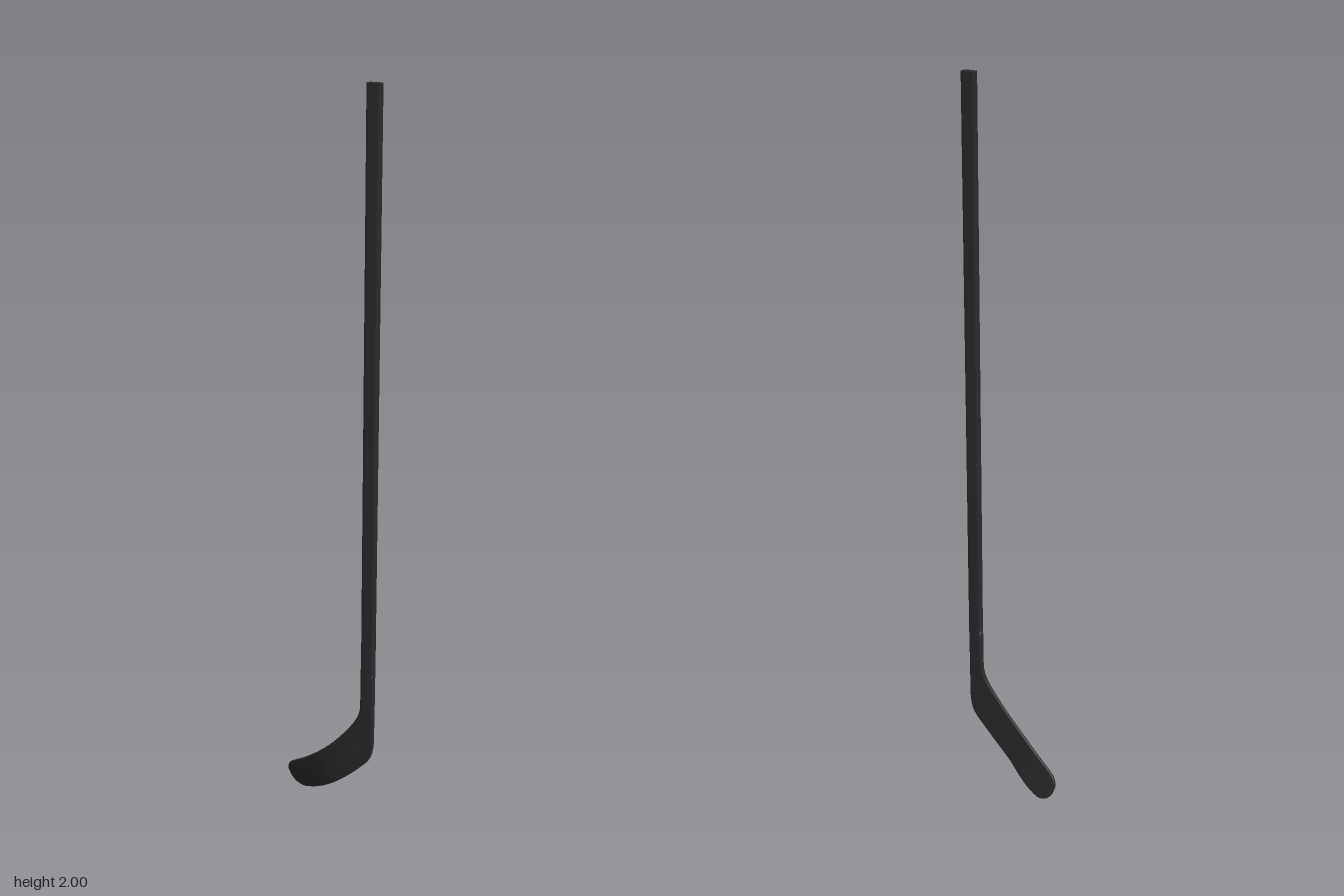
import * as THREE from 'three';

const SHAFT = { x: 0.1265, z: 0.0215, w: 0.037, d: 0.022, joint: 0.46, top: 2 };

// Rounded rectangle outline, counterclockwise, as [x, y] pairs
function roundedRect(hw, hd, r, steps = 4) {
  const points = [];
  const corners = [[1, 1], [-1, 1], [-1, -1], [1, -1]];
  corners.forEach(([sx, sy], k) => {
    for (let i = 0; i <= steps; i++) {
      const a = (k + i / steps) * Math.PI / 2;
      points.push([sx * (hw - r) + r * Math.cos(a), sy * (hd - r) + r * Math.sin(a)]);
    }
  });
  return points;
}

// Straight shaft with rounded corners
function shaftGeometry() {
  const outline = roundedRect(SHAFT.w / 2, SHAFT.d / 2, 0.006);
  const shape = new THREE.Shape(outline.map(([x, y]) => new THREE.Vector2(x, y)));
  const g = new THREE.ExtrudeGeometry(shape, { depth: SHAFT.top - SHAFT.joint, bevelEnabled: false });
  g.rotateX(-Math.PI / 2);
  g.translate(SHAFT.x, SHAFT.joint, SHAFT.z);
  return g;
}

// Curved blade: sections spanning an upper and a lower edge curve
function bladeGeometry() {
  // upper x, y, z, lower x, y, z, thickness
  const sections = [
    [0.107, 0.47, 0.0215, 0.145, 0.47, 0.0215, 0.021],
    [0.106, 0.39, 0.0215, 0.145, 0.37, 0.0215, 0.019],
    [0.103, 0.335, 0.022, 0.145, 0.29, 0.0215, 0.016],
    [0.088, 0.30, 0.022, 0.144, 0.23, 0.0215, 0.013],
    [0.062, 0.262, 0.022, 0.134, 0.192, 0.0215, 0.011],
    [0.03, 0.222, 0.021, 0.1, 0.15, 0.021, 0.01],
    [-0.003, 0.187, 0.018, 0.055, 0.105, 0.017, 0.01],
    [-0.04, 0.153, 0.012, 0.01, 0.066, 0.009, 0.01],
    [-0.08, 0.12, 0.003, -0.04, 0.028, -0.011, 0.01],
    [-0.118, 0.093, -0.007, -0.08, 0.007, -0.024, 0.01],
    [-0.136, 0.079, -0.013, -0.102, 0.001, -0.029, 0.01],
    [-0.1455, 0.064, -0.019, -0.126, 0.009, -0.03, 0.009],
    [-0.1475, 0.05, -0.022, -0.14, 0.024, -0.028, 0.006],
  ];
  const upper = new THREE.CatmullRomCurve3(sections.map(s => new THREE.Vector3(s[0], s[1], s[2])));
  const lower = new THREE.CatmullRomCurve3(sections.map(s => new THREE.Vector3(s[3], s[4], s[5])));
  const rings = (sections.length - 1) * 4;
  const centre = t => upper.getPoint(t).add(lower.getPoint(t)).multiplyScalar(0.5);
  const positions = [], index = [];
  let count = 0;
  for (let i = 0; i <= rings; i++) {
    const t = i / rings;
    const k = Math.min(Math.floor(i / 4), sections.length - 2);
    const thick = THREE.MathUtils.lerp(sections[k][6], sections[k + 1][6], i / 4 - k);
    const c = centre(t);
    const across = upper.getPoint(t).sub(lower.getPoint(t));
    const half = across.length() / 2;
    across.normalize();
    const tangent = centre(Math.min(1, t + 0.01)).sub(centre(Math.max(0, t - 0.01)));
    const normal = new THREE.Vector3().crossVectors(across, tangent).normalize();
    const outline = roundedRect(half, thick / 2, Math.min(0.006, thick * 0.42));
    count = outline.length;
    for (const [a, b] of outline) {
      const p = c.clone().addScaledVector(across, a).addScaledVector(normal, b);
      positions.push(p.x, Math.max(0, p.y), p.z);
    }
  }
  for (let i = 0; i < rings; i++) {
    for (let j = 0; j < count; j++) {
      const a = i * count + j, b = i * count + (j + 1) % count;
      index.push(a, a + count, b + count, a, b + count, b);
    }
  }
  // Close the joint end and the toe
  for (const [ring, flip] of [[0, false], [rings, true]]) {
    const c = centre(ring / rings);
    const mid = positions.length / 3;
    positions.push(c.x, c.y, c.z);
    for (let j = 0; j < count; j++) {
      const a = ring * count + j, b = ring * count + (j + 1) % count;
      index.push(mid, flip ? b : a, flip ? a : b);
    }
  }
  const g = new THREE.BufferGeometry();
  g.setAttribute('position', new THREE.Float32BufferAttribute(positions, 3));
  g.setIndex(index);
  g.computeVertexNormals();
  return g;
}

export function createModel() {
  const group = new THREE.Group();
  group.name = 'hockeyStick';
  const black = new THREE.MeshStandardMaterial({ color: 0x2b2b2b });
  black.name = 'matte black';
  const add = (name, geometry) => {
    const mesh = new THREE.Mesh(geometry, black);
    mesh.name = name;
    group.add(mesh);
  };
  add('shaft', shaftGeometry());
  add('blade', bladeGeometry());
  return group;
}
